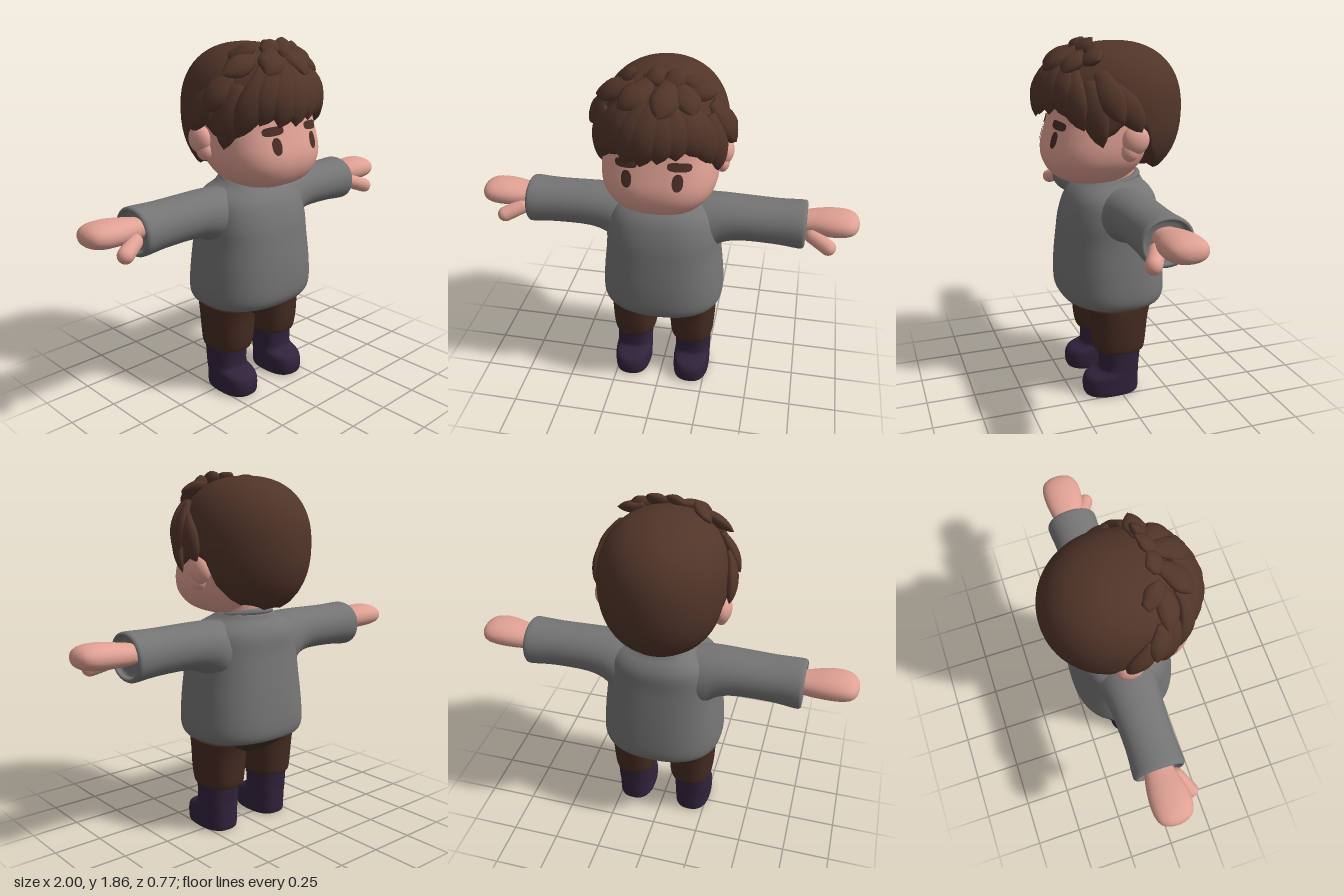
import * as THREE from 'three';
import { mergeGeometries } from 'three/addons/utils/BufferGeometryUtils.js';

const mat = (name, color, side = THREE.FrontSide) => {
  const m = new THREE.MeshStandardMaterial({ color, side });
  m.name = name;
  return m;
};
const spow = (v, e) => Math.sign(v) * Math.pow(Math.abs(v), e);

// Closed skin over rows of points; both ends are capped with a fan
function skin(rows) {
  const n = rows[0].length, pos = [], idx = [];
  rows.forEach(r => r.forEach(p => pos.push(p.x, p.y, p.z)));
  for (let i = 0; i < rows.length - 1; i++)
    for (let j = 0; j < n; j++) {
      const k = (j + 1) % n, a = i * n + j, b = i * n + k;
      idx.push(a, b, b + n, a, b + n, a + n);
    }
  [0, rows.length - 1].forEach((i, end) => {
    const c = new THREE.Vector3();
    rows[i].forEach(p => c.addScaledVector(p, 1 / n));
    const ci = pos.length / 3;
    pos.push(c.x, c.y, c.z);
    for (let j = 0; j < n; j++) {
      const a = i * n + j, b = i * n + (j + 1) % n;
      idx.push(...(end ? [ci, a, b] : [ci, b, a]));
    }
  });
  const g = new THREE.BufferGeometry();
  g.setAttribute('position', new THREE.Float32BufferAttribute(pos, 3));
  g.setIndex(idx);
  g.computeVertexNormals();
  return g;
}

// Smooth resampling of cross-sections [height, halfWidth, zFront, zBack, centreX]
function smooth(rings, sub = 4) {
  const out = [], at = i => rings[Math.max(0, Math.min(rings.length - 1, i))];
  for (let i = 0; i < rings.length - 1; i++)
    for (let s = 0; s < sub; s++) {
      const t = s / sub;
      out.push(at(i).map((v, k) => {
        const p0 = at(i - 1)[k], p2 = at(i + 1)[k], p3 = at(i + 2)[k];
        return v + 0.5 * t * (p2 - p0 + t * (2 * p0 - 5 * v + 4 * p2 - p3 + t * (3 * (v - p2) + p3 - p0)));
      }));
    }
  out.push(at(rings.length - 1));
  return out;
}

function loft(rings, power = 2.3, seg = 36) {
  return skin(smooth(rings).map(([y, rx, zf, zb, cx = 0]) => Array.from({ length: seg }, (_, j) => {
    const a = j / seg * Math.PI * 2;
    return new THREE.Vector3(cx + rx * spow(Math.sin(a), 2 / power), y,
      (zf + zb) / 2 + (zf - zb) / 2 * spow(Math.cos(a), 2 / power));
  })));
}
// Same, running along +x: [x, halfHeight, zFront, zBack, centreY]
const loftX = (rings, power) =>
  loft(rings.map(([x, r, f, b, cy]) => [x, r, f, b, -cy]), power).rotateZ(-Math.PI / 2);

function mirrored(g) {
  const m = g.clone().scale(-1, 1, 1), ix = m.index.array;
  for (let i = 0; i < ix.length; i += 3) [ix[i], ix[i + 1]] = [ix[i + 1], ix[i]];
  m.computeVertexNormals();
  return m;
}

// Head sections, also used to seat the eyes and brows
const headRings = [[1.137, 0.09, 0.18, 0.0], [1.15, 0.15, 0.24, -0.05], [1.185, 0.215, 0.30, -0.1],
  [1.25, 0.268, 0.335, -0.15], [1.32, 0.287, 0.34, -0.18], [1.40, 0.287, 0.32, -0.2],
  [1.47, 0.28, 0.30, -0.22], [1.6, 0.265, 0.27, -0.22], [1.72, 0.19, 0.18, -0.18]];
const HEAD_POWER = 2.5;
function faceZ(x, y) {
  const s = smooth(headRings);
  const i = Math.max(1, s.findIndex(r => r[0] >= y)), t = (y - s[i - 1][0]) / (s[i][0] - s[i - 1][0]);
  const [, rx, f, b] = s[i].map((v, k) => s[i - 1][k] + (v - s[i - 1][k]) * t);
  return (f + b) / 2 + (f - b) / 2 * Math.pow(1 - Math.pow(Math.abs(x / rx), HEAD_POWER), 1 / HEAD_POWER);
}
// Thin oval patch lying on the face
function facePatch(cx, cy, rx, ry, power, tilt) {
  const g = new THREE.RingGeometry(0.001, 1, 28, 4), p = g.attributes.position;
  for (let i = 0; i < p.count; i++) {
    const r = Math.hypot(p.getX(i), p.getY(i)), a = Math.atan2(p.getY(i), p.getX(i));
    const u = r * rx * spow(Math.cos(a), 2 / power);
    const x = cx + u, y = cy + r * ry * spow(Math.sin(a), 2 / power) + u * tilt;
    p.setXYZ(i, x, y, faceZ(x, y) + 0.005);
  }
  g.computeVertexNormals();
  return g;
}

// Hair volume: angle a runs from the front (0) round the left side
function hairPoint(a, y, out = 0) {
  const h = Math.min(1, Math.abs(y - 1.5) / (y > 1.5 ? 0.335 : 0.37));
  const s = Math.pow(1 - Math.pow(h, 2.3), 1 / 2.3), c = Math.cos(a);
  const p = new THREE.Vector3(0.318 * s * Math.sin(a), y, -0.03 + (c > 0 ? 0.375 : 0.35) * s * c);
  const n = p.clone().sub(new THREE.Vector3(0, 1.5, -0.03)).normalize();
  return p.addScaledVector(n, out);
}
// Lower hair edge by angle: fringe, sideburn, over the ear, nape
const edge = [[0, 1.55], [0.6, 1.53], [0.95, 1.46], [1.15, 1.39], [1.32, 1.41], [1.42, 1.45],
  [1.75, 1.44], [1.9, 1.3], [2.1, 1.23], [2.6, 1.19], [3.15, 1.175]];
function hairEdge(a) {
  const b = Math.abs(a > Math.PI ? a - 2 * Math.PI : a);
  const i = Math.max(1, edge.findIndex(e => e[0] >= b));
  const [[a0, y0], [a1, y1]] = [edge[i - 1], edge[i]];
  return y0 + (y1 - y0) * (b - a0) / (a1 - a0) + 0.018 * Math.abs(Math.sin(a * 5.5));
}
function hairCap() {
  const seg = 96, n = 22, rows = [];
  const ring = f => Array.from({ length: seg }, (_, j) => f(j / seg * Math.PI * 2));
  const tuck = k => ring(a => {
    const p = hairPoint(a, hairEdge(a));
    return new THREE.Vector3(p.x * k, p.y + 0.02, -0.03 + (p.z + 0.03) * k);
  });
  rows.push(tuck(0.45), tuck(0.85));
  for (let i = 0; i < n; i++)
    rows.push(ring(a => hairPoint(a, hairEdge(a) + (1.8345 - hairEdge(a)) * Math.sin(i / (n - 1) * Math.PI / 2))));
  return skin(rows);
}
// Pointed lock from (a0,y0) to (a1,y1) with the tip lifted off the head
function lock([a0, y0, a1, y1, w, lift]) {
  const n = 10, seg = 10, mid = t => hairPoint(a0 + (a1 - a0) * t, y0 + (y1 - y0) * t, 0.008 + lift * t * t);
  const centre = new THREE.Vector3(0, 1.5, -0.03), rows = [];
  for (let i = 0; i <= n; i++) {
    const t = i / n, p = mid(t), T = mid(t + 0.03).sub(mid(t - 0.03)).normalize();
    const N = p.clone().sub(centre).normalize();
    N.addScaledVector(T, -N.dot(T)).normalize();
    const B = new THREE.Vector3().crossVectors(T, N);
    const r = w * Math.pow(Math.sin(Math.PI * (0.12 + 0.88 * Math.pow(t, 1.25))), 0.75) + 0.001;
    rows.push(Array.from({ length: seg }, (_, j) => {
      const q = j / seg * Math.PI * 2;
      return p.clone().addScaledVector(N, Math.cos(q) * r * 0.5).addScaledVector(B, -Math.sin(q) * r);
    }));
  }
  return skin(rows);
}
const locks = [
  // fringe
  [-0.5, 1.74, -0.98, 1.42, 0.075, 0.01], [-0.3, 1.75, -0.66, 1.48, 0.08, 0.01], [-0.1, 1.75, -0.4, 1.47, 0.085, 0.015],
  [0.0, 1.76, -0.14, 1.47, 0.085, 0.015], [0.2, 1.75, 0.1, 1.49, 0.08, 0.015], [0.3, 1.75, 0.36, 1.5, 0.08, 0.01],
  [0.45, 1.74, 0.66, 1.5, 0.08, 0.01], [0.6, 1.72, 0.92, 1.44, 0.075, 0.01],
  // temples and sides
  [-0.95, 1.66, -1.15, 1.36, 0.065, 0.005], [0.95, 1.66, 1.15, 1.36, 0.065, 0.005],
  [-1.1, 1.7, -1.35, 1.53, 0.065, 0.04], [1.1, 1.7, 1.4, 1.48, 0.065, 0.04],
  [-1.3, 1.64, -1.65, 1.43, 0.065, 0.01], [1.3, 1.64, 1.65, 1.43, 0.065, 0.01],
  // upper layer and crown tufts
  [-0.7, 1.79, -1.15, 1.68, 0.06, 0.05], [0.75, 1.79, 1.1, 1.72, 0.06, 0.06], [-0.2, 1.8, -0.55, 1.69, 0.07, 0.04],
  [0.3, 1.8, 0.1, 1.68, 0.07, 0.04], [0.6, 1.79, 0.6, 1.68, 0.065, 0.04],
  [0.7, 1.76, 0.95, 1.79, 0.055, 0.05], [0.2, 1.79, 0.75, 1.81, 0.05, 0.045], [-0.4, 1.8, 0.2, 1.815, 0.05, 0.03],
  [-1.2, 1.78, -0.6, 1.8, 0.05, 0.035],
];

export function createModel() {
  const model = new THREE.Group();
  const skinMat = mat('skin', 0xe0a194), hairMat = mat('hair brown', 0x513529, THREE.DoubleSide);
  const wool = mat('grey wool', 0x757575), cloth = mat('trouser brown', 0x452c21);
  const leather = mat('dark purple leather', 0x30233b), dark = mat('eye brown', 0x4a2f27, THREE.DoubleSide);
  const add = (name, g, m) => {
    const mesh = new THREE.Mesh(g, m);
    mesh.name = name;
    model.add(mesh);
  };
  const pair = (name, g, m) => {
    add('left' + name, g, m);
    add('right' + name, mirrored(g), m);
  };

  // Head
  add('head', loft(headRings, HEAD_POWER, 48), skinMat);
  add('neck', new THREE.CylinderGeometry(0.105, 0.115, 0.2, 32).translate(0, 1.16, -0.035), skinMat);
  pair('Ear', mergeGeometries([
    new THREE.SphereGeometry(1, 24, 16).scale(0.045, 0.07, 0.068).translate(0.3, 1.385, -0.04),
    new THREE.SphereGeometry(1, 20, 14).scale(0.036, 0.05, 0.045).translate(0.292, 1.33, -0.015)]), skinMat);
  pair('Eye', facePatch(0.122, 1.375, 0.026, 0.041, 2.2, 0), dark);
  pair('Eyebrow', facePatch(0.127, 1.446, 0.056, 0.021, 3.2, -0.08), dark);

  // Hair
  add('hairCap', hairCap(), hairMat);
  add('hairLocks', mergeGeometries(locks.map(lock)), hairMat);

  // Sweater
  add('sweaterBody', loft([[0.54, 0.22, 0.19, -0.2], [0.51, 0.285, 0.235, -0.245], [0.515, 0.31, 0.257, -0.267],
    [0.57, 0.325, 0.28, -0.28], [0.7, 0.318, 0.28, -0.272], [0.85, 0.302, 0.265, -0.255],
    [0.95, 0.298, 0.25, -0.242], [1.04, 0.28, 0.22, -0.235], [1.09, 0.24, 0.185, -0.212],
    [1.125, 0.17, 0.14, -0.18], [1.15, 0.135, 0.1, -0.165], [1.14, 0.1, 0.07, -0.13]], 2.4, 48), wool);
  add('collar', new THREE.TorusGeometry(0.13, 0.018, 10, 40).rotateX(Math.PI / 2).rotateX(0.22)
    .translate(0, 1.135, -0.025), wool);
  pair('Sleeve', loftX([[0.1, 0.15, 0.12, -0.18, 0.965], [0.22, 0.16, 0.13, -0.185, 0.965],
    [0.3, 0.13, 0.115, -0.17, 0.998], [0.4, 0.115, 0.105, -0.16, 1.012], [0.58, 0.114, 0.1, -0.155, 1.01],
    [0.7, 0.121, 0.105, -0.163, 1.006], [0.727, 0.118, 0.1, -0.16, 1.006], [0.733, 0.103, 0.085, -0.145, 1.008],
    [0.705, 0.092, 0.075, -0.135, 1.01], [0.7, 0.03, 0.02, -0.08, 1.02]], 2.1), wool);

  // Hands
  pair('Hand', loftX([[0.66, 0.045, 0.03, -0.09, 1.02], [0.75, 0.055, 0.045, -0.115, 1.025],
    [0.84, 0.062, 0.068, -0.13, 1.032], [0.92, 0.06, 0.07, -0.13, 1.035], [0.97, 0.047, 0.05, -0.113, 1.035],
    [0.994, 0.025, 0.01, -0.075, 1.033], [1.0, 0.002, -0.028, -0.032, 1.032]], 2.2), skinMat);
  const thumb = new THREE.CapsuleGeometry(0.04, 0.1, 8, 18);
  thumb.applyQuaternion(new THREE.Quaternion().setFromUnitVectors(new THREE.Vector3(0, 1, 0),
    new THREE.Vector3(0.09, -0.035, 0.05).normalize())).translate(0.81, 0.97, 0.065);
  pair('Thumb', thumb, skinMat);

  // Trousers
  add('trouserSeat', loft([[0.405, 0.1, 0.05, -0.07], [0.42, 0.2, 0.11, -0.125], [0.45, 0.275, 0.15, -0.165],
    [0.5, 0.287, 0.185, -0.205], [0.57, 0.287, 0.19, -0.21]], 2.6), cloth);
  pair('TrouserLeg', loft([[0.265, 0.08, 0.08, -0.09, 0.165], [0.245, 0.1, 0.115, -0.125, 0.165],
    [0.26, 0.115, 0.13, -0.14, 0.163], [0.33, 0.122, 0.143, -0.148, 0.163], [0.43, 0.126, 0.15, -0.158, 0.163],
    [0.5, 0.125, 0.165, -0.175, 0.163]], 2.4), cloth);

  // Boots
  pair('Boot', loft([[0, 0.088, 0.172, -0.095, 0.17], [0.012, 0.098, 0.188, -0.105, 0.17],
    [0.065, 0.1, 0.192, -0.107, 0.17], [0.105, 0.1, 0.175, -0.107, 0.17], [0.13, 0.098, 0.115, -0.107, 0.17],
    [0.16, 0.098, 0.098, -0.108, 0.17], [0.275, 0.1, 0.105, -0.118, 0.17]], 2.5), leather);

  return model;
}
